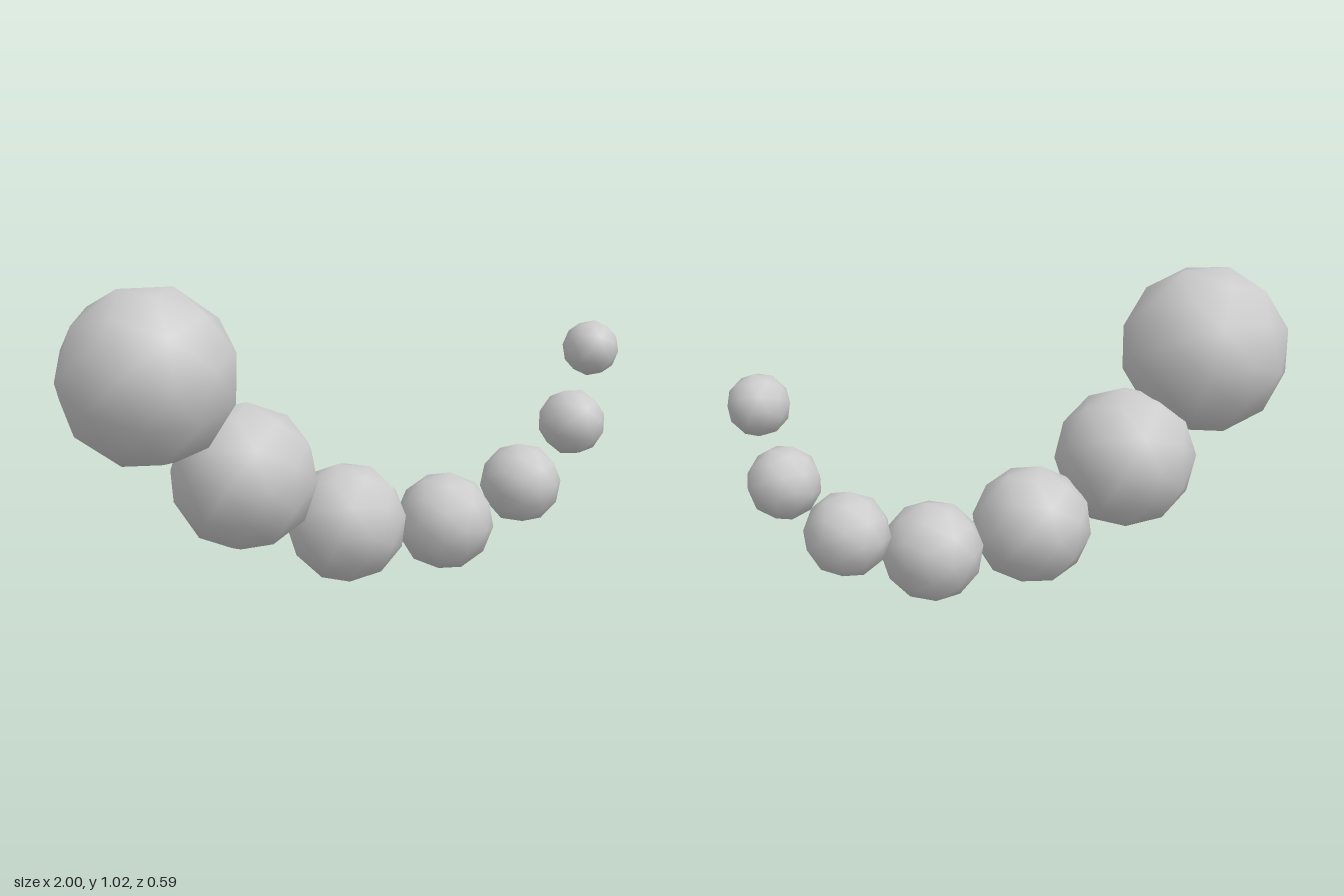
import * as THREE from 'three';

// Ball centres [x, y] and twist in degrees, from the largest to the smallest
const BALLS = [
  [-0.705, 0.743, 0],
  [-0.392, 0.395, 15],
  [-0.03, 0.205, 28],
  [0.338, 0.172, 47],
  [0.633, 0.279, 59],
  [0.834, 0.482, 70],
  [0.903, 0.742, 83],
];
const FIRST_RADIUS = 0.295;
const SHRINK = 0.832; // each ball is this much smaller than the one before

export function createModel() {
  const group = new THREE.Group();
  group.name = 'ballChain';
  const material = new THREE.MeshStandardMaterial({ color: 0xcccccc });

  // Low-poly ball with smooth normals, poles turned to face front and back
  const ball = new THREE.IcosahedronGeometry(1, 1);
  ball.rotateX(-Math.atan(2 / (1 + Math.sqrt(5))));

  BALLS.forEach(([x, y, twist], i) => {
    const mesh = new THREE.Mesh(ball, material);
    mesh.name = i === 0 ? 'headBall' : `bodyBall${i}`;
    mesh.position.set(x, y, 0);
    mesh.rotation.z = THREE.MathUtils.degToRad(twist);
    mesh.scale.setScalar(FIRST_RADIUS * SHRINK ** i);
    group.add(mesh);
  });
  return group;
}
